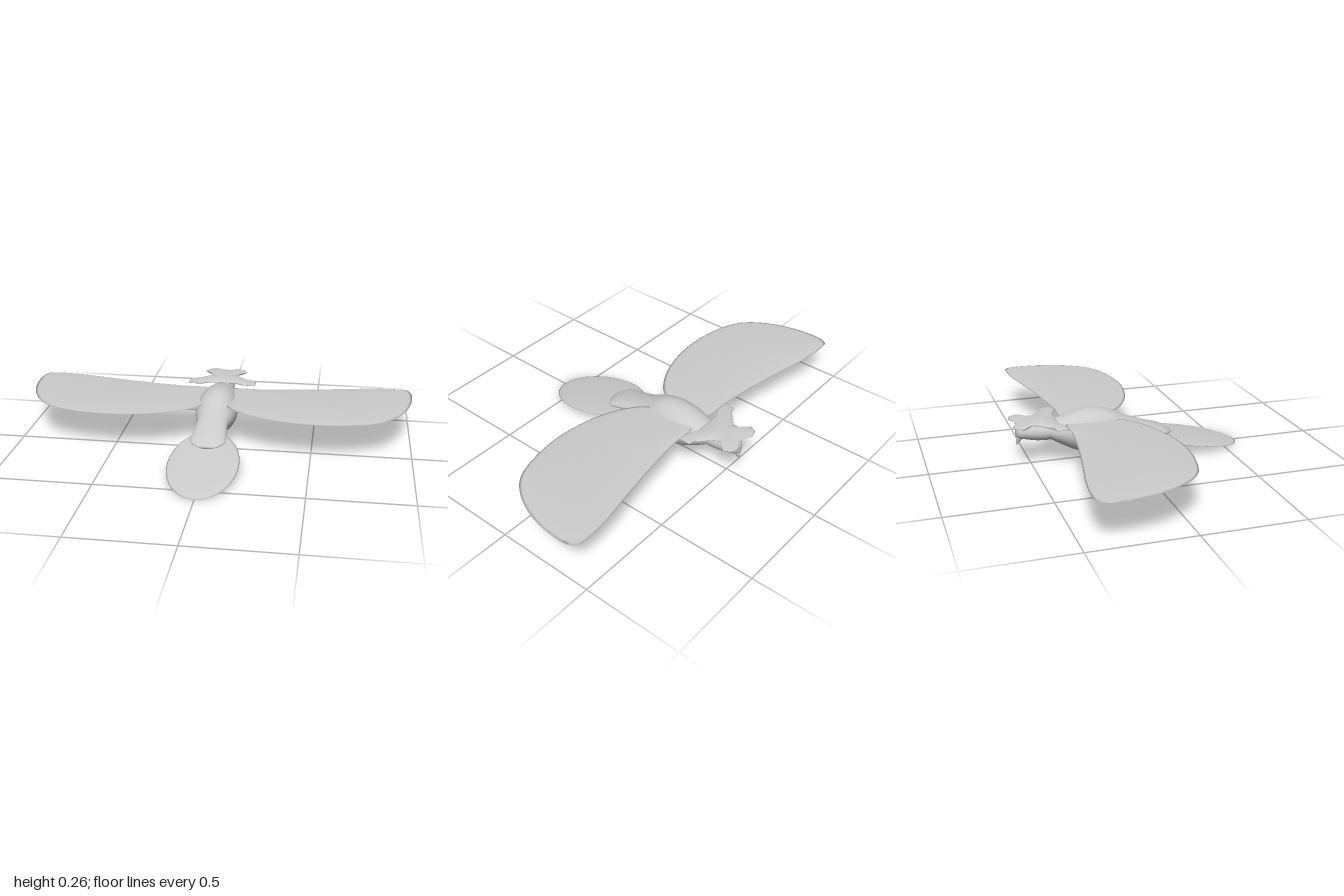
import * as THREE from 'three';

const material = new THREE.MeshStandardMaterial({ color: 0xcccccc, side: THREE.DoubleSide });

// Smoothly resample a list of number rows.
function resample(rows, n) {
  const out = [];
  for (let i = 0; i <= n; i++) {
    const t = (i / n) * (rows.length - 1);
    const k = Math.min(Math.floor(t), rows.length - 2), f = t - k;
    const at = (j) => rows[Math.max(0, Math.min(rows.length - 1, j))];
    out.push(rows[k].map((b, c) => {
      const a = at(k - 1)[c], d = at(k + 1)[c], e = at(k + 2)[c];
      return b + 0.5 * f * (d - a + f * (2 * a - 5 * b + 4 * d - e + f * (3 * (b - d) + e - a)));
    }));
  }
  return out;
}

// Skin a list of equal rings of points, each closed on itself.
function skin(name, rings) {
  const n = rings[0].length, index = [];
  for (let i = 0; i < rings.length - 1; i++) {
    for (let j = 0; j < n; j++) {
      const k = (j + 1) % n;
      const a = i * n + j, b = i * n + k, c = a + n, d = b + n;
      index.push(a, c, b, b, c, d);
    }
  }
  const g = new THREE.BufferGeometry();
  g.setAttribute('position', new THREE.Float32BufferAttribute(rings.flat(2), 3));
  g.setIndex(index);
  g.computeVertexNormals();
  const mesh = new THREE.Mesh(g, material);
  mesh.name = name;
  return mesh;
}

// Rows of [z, bottom, top, half width] become elliptical sections with closed ends.
function loft(name, rows, steps, sides = 32) {
  const s = resample(rows, steps);
  const ring = ([z, lo, hi, w], k = 1) => Array.from({ length: sides }, (_, j) => {
    const a = (j / sides) * Math.PI * 2;
    return [k * w * Math.cos(a), (lo + hi) / 2 + k * (hi - lo) / 2 * Math.sin(a), z];
  });
  return skin(name, [ring(s[0], 0), ...s.map((r) => ring(r)), ring(s[steps], 0)]);
}

// Thin lens-shaped plate over an [x, z] outline, swelling towards its centre.
function plate(name, outline, [cx, cz], thick, height) {
  const levels = [];
  for (let i = 0; i <= 6; i++) levels.push([Math.sin((i / 6) * Math.PI / 2), 1]);
  for (let i = 5; i >= 0; i--) levels.push([Math.sin((i / 6) * Math.PI / 2), -1]);
  return skin(name, levels.map(([k, side]) => outline.map(([x, z]) => {
    const px = cx + (x - cx) * k, pz = cz + (z - cz) * k;
    return [px, height(px, pz) + side * (thick / 2) * Math.sqrt(Math.max(0, 1 - k * k)), pz];
  })));
}

export function createModel() {
  const bird = new THREE.Group();
  bird.name = 'bird';

  // Body, from the flat rump at +z to the neck at -z
  bird.add(loft('body', [
    [0.222, 0.092, 0.106, 0.04],
    [0.18, 0.09, 0.13, 0.085],
    [0.10, 0.095, 0.157, 0.083],
    [0.02, 0.09, 0.187, 0.08],
    [-0.04, 0.064, 0.214, 0.092],
    [-0.11, 0.037, 0.246, 0.104],
    [-0.18, 0.029, 0.257, 0.108],
    [-0.26, 0.044, 0.25, 0.1],
    [-0.33, 0.078, 0.23, 0.085],
    [-0.385, 0.11, 0.212, 0.066],
    [-0.42, 0.13, 0.19, 0.04],
  ], 50));

  // Head and hooked beak
  bird.add(loft('head', [
    [-0.385, 0.125, 0.205, 0.05],
    [-0.41, 0.117, 0.21, 0.055],
    [-0.47, 0.12, 0.213, 0.053],
    [-0.52, 0.13, 0.213, 0.046],
    [-0.555, 0.137, 0.205, 0.034],
    [-0.57, 0.15, 0.19, 0.014],
  ], 24));
  bird.add(skin('beak', resample([
    [0.165, -0.545, 0.024], [0.14, -0.551, 0.019],
    [0.118, -0.561, 0.009], [0.1, -0.566, 0.0005],
  ], 10).map(([y, z, r]) => Array.from({ length: 14 }, (_, j) => {
    const a = (j / 14) * Math.PI * 2;
    return [0.8 * r * Math.cos(a), y, z + r * Math.sin(a)];
  }))));

  // Wings
  const wing = new THREE.CatmullRomCurve3([
    [0.04, -0.32], [0.2, -0.335], [0.4, -0.36], [0.6, -0.395], [0.8, -0.433],
    [0.91, -0.441], [0.975, -0.433], [0.998, -0.39], [0.99, -0.22], [0.93, -0.06],
    [0.84, 0.045], [0.7, 0.098], [0.5, 0.118], [0.3, 0.085], [0.16, 0.025],
    [0.07, -0.05], [0.03, -0.17],
  ].map(([x, z]) => new THREE.Vector3(x, 0, z)), true).getPoints(96).slice(0, -1);
  for (const [name, s] of [['leftWing', 1], ['rightWing', -1]]) {
    const outline = wing.map((p) => [s * p.x, p.z]);
    if (s < 0) outline.reverse();
    bird.add(plate(name, outline.reverse(), [s * 0.55, -0.15], 0.022, () => 0.204));
  }

  // Sloping oval tail
  const tail = Array.from({ length: 48 }, (_, i) => {
    const a = (i / 48) * Math.PI * 2;
    return [0.173 * Math.cos(a), 0.32 + 0.27 * Math.sin(a)];
  }).reverse();
  bird.add(plate('tail', tail, [0, 0.32], 0.022, (x, z) => 0.003 + (0.59 - z) * 0.195));

  // Flat forked crest above the head
  const half = [
    [0.07, -0.37], [0.12, -0.345], [0.18, -0.342], [0.18, -0.4], [0.15, -0.407],
    [0.075, -0.475], [0.075, -0.508], [0.115, -0.55], [0.1, -0.582], [0.06, -0.597],
    [0.02, -0.575],
  ];
  const crest = [...half, ...half.map(([x, z]) => [-x, z]).reverse()];
  bird.add(plate('crest', crest, [0, -0.46], 0.024, () => 0.219));

  return bird;
}
